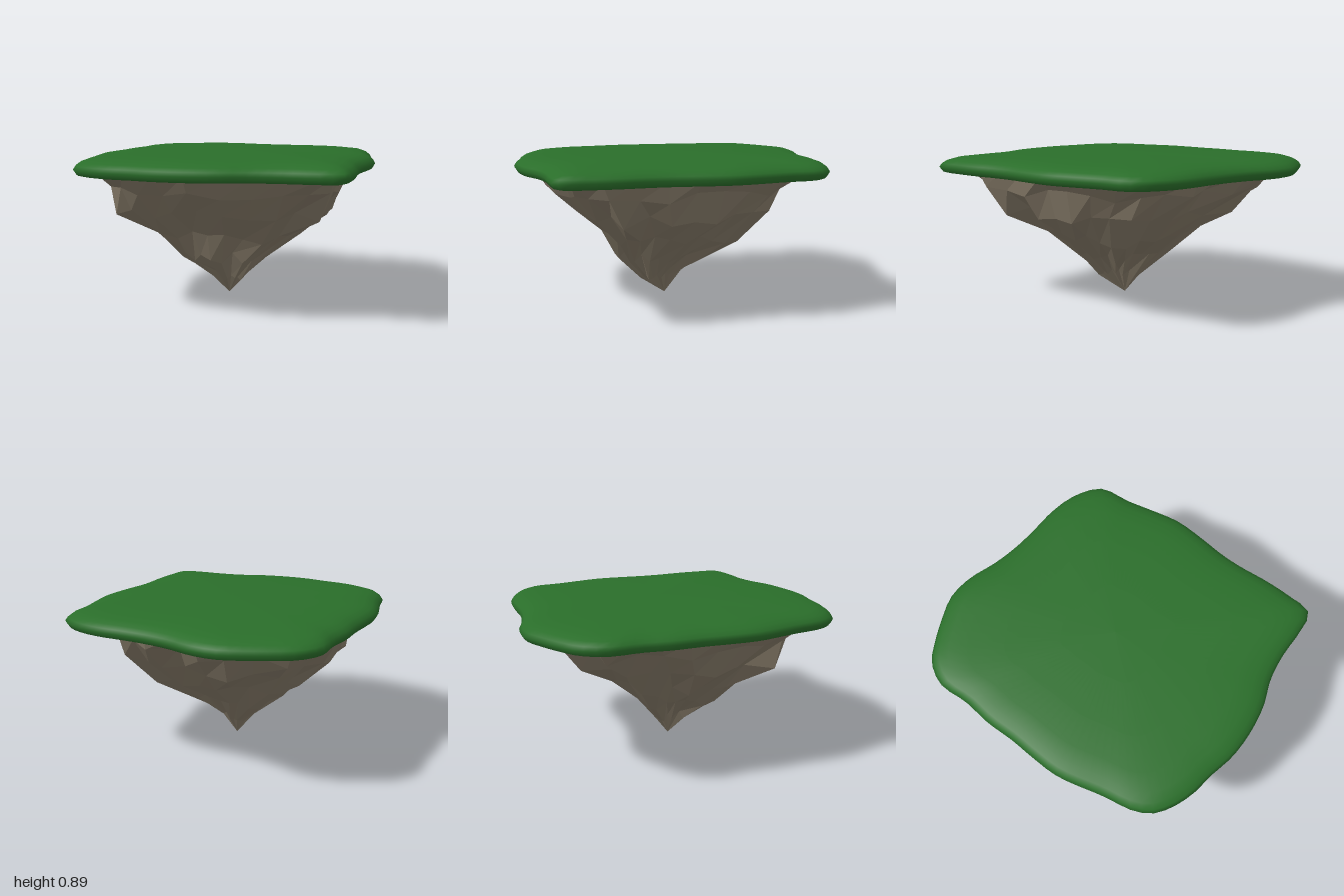
import * as THREE from 'three';

// Island outline as [x, z], running back -> left -> front -> right
const OUTLINE = [
  [-0.13, -1], [0.02, -0.95], [0.16, -0.86], [0.3, -0.79], [0.45, -0.735], [0.6, -0.69], [0.73, -0.63],
  [0.83, -0.55], [0.89, -0.455], [0.87, -0.28], [0.865, -0.1], [0.855, 0.06], [0.8, 0.24], [0.745, 0.39],
  [0.71, 0.53], [0.685, 0.68], [0.645, 0.84], [0.585, 0.99], [0.44, 0.98], [0.28, 0.94], [0.11, 0.92],
  [-0.07, 0.935], [-0.25, 0.915], [-0.41, 0.87], [-0.55, 0.8], [-0.68, 0.745], [-0.79, 0.67],
  [-0.865, 0.585], [-0.895, 0.475], [-0.885, 0.3], [-0.88, 0.02], [-0.84, -0.14], [-0.79, -0.3],
  [-0.75, -0.47], [-0.69, -0.63], [-0.65, -0.81], [-0.55, -0.92], [-0.43, -0.96], [-0.3, -0.985],
];

// Cap profile, bottom to top: [scale of outline, y]
const CAP = [[0, 0.772], [0.5, 0.772], [0.955, 0.772], [0.98, 0.778], [1, 0.808], [0.985, 0.83],
  [0.955, 0.85], [0.9, 0.867], [0.8, 0.878], [0.6, 0.887], [0.3, 0.893], [0, 0.895]];

// Rock levels, bottom to top: [y, xMin, xMax, zMin, zMax]
const ROCK = [
  [0, -0.03, -0.03, 0.04, 0.04],
  [0.13, -0.13, 0.07, -0.05, 0.21],
  [0.27, -0.33, 0.24, -0.21, 0.36],
  [0.405, -0.49, 0.47, -0.39, 0.48],
  [0.55, -0.67, 0.66, -0.6, 0.67],
  [0.69, -0.74, 0.72, -0.75, 0.79],
  [0.79, -0.8, 0.77, -0.85, 0.87],
];

function seeded(seed) {
  return () => {
    seed = (seed * 16807) % 2147483647;
    return seed / 2147483647;
  };
}

// Skin a stack of closed rings, ordered from bottom to top
function loft(rings) {
  const n = rings[0].length;
  const index = [];
  for (let i = 0; i < rings.length - 1; i++) {
    for (let j = 0; j < n; j++) {
      const a = i * n + j, b = i * n + ((j + 1) % n), c = a + n, d = b + n;
      if (i < rings.length - 2) index.push(a, c, b, b, c, d);
      else index.push(a, c, b, b, c, d);
    }
  }
  const geometry = new THREE.BufferGeometry();
  geometry.setAttribute('position', new THREE.Float32BufferAttribute(rings.flat(2), 3));
  geometry.setIndex(index);
  geometry.computeVertexNormals();
  return geometry;
}

export function createModel() {
  const group = new THREE.Group();
  const curve = new THREE.CatmullRomCurve3(OUTLINE.map(([x, z]) => new THREE.Vector3(x, 0, z)), true);

  // Smooth grass slab with a rounded rim
  const rim = curve.getSpacedPoints(96).slice(0, 96);
  const grass = new THREE.Mesh(
    loft(CAP.map(([s, y]) => rim.map((p) => [p.x * s, y, p.z * s]))),
    new THREE.MeshStandardMaterial({ color: 0x2a6e2a })
  );
  grass.name = 'grassTop';
  group.add(grass);

  // Faceted rock tapering to a point, with ridges and gullies
  const random = seeded(4217);
  const columns = 30;
  const base = curve.getSpacedPoints(columns).slice(0, columns);
  const ridges = base.map(() => 1.02 - 0.1 * random());
  const rings = ROCK.map(([y, x0, x1, z0, z1], level) => base.map((p, j) => {
    const cx = (x0 + x1) / 2, cz = (z0 + z1) / 2;
    // Lower levels become rounder than the outline
    const u = p.x / 0.89, v = p.z;
    const round = 0.6 * (1 - level / 6);
    const k = THREE.MathUtils.lerp(1, 1 / Math.hypot(u, v), round);
    const inner = level > 0 && level < 6;
    const s = k * (inner ? ridges[j] * (1.05 - 0.12 * random()) : 1);
    const dy = inner ? (random() - 0.5) * 0.07 : 0;
    return [cx + u * s * (x1 - x0) / 2, y + dy, cz + v * s * (z1 - z0) / 2];
  }));
  const rock = new THREE.Mesh(
    loft(rings),
    new THREE.MeshStandardMaterial({ color: 0x857a68, flatShading: true })
  );
  rock.name = 'rockBase';
  group.add(rock);

  return group;
}
